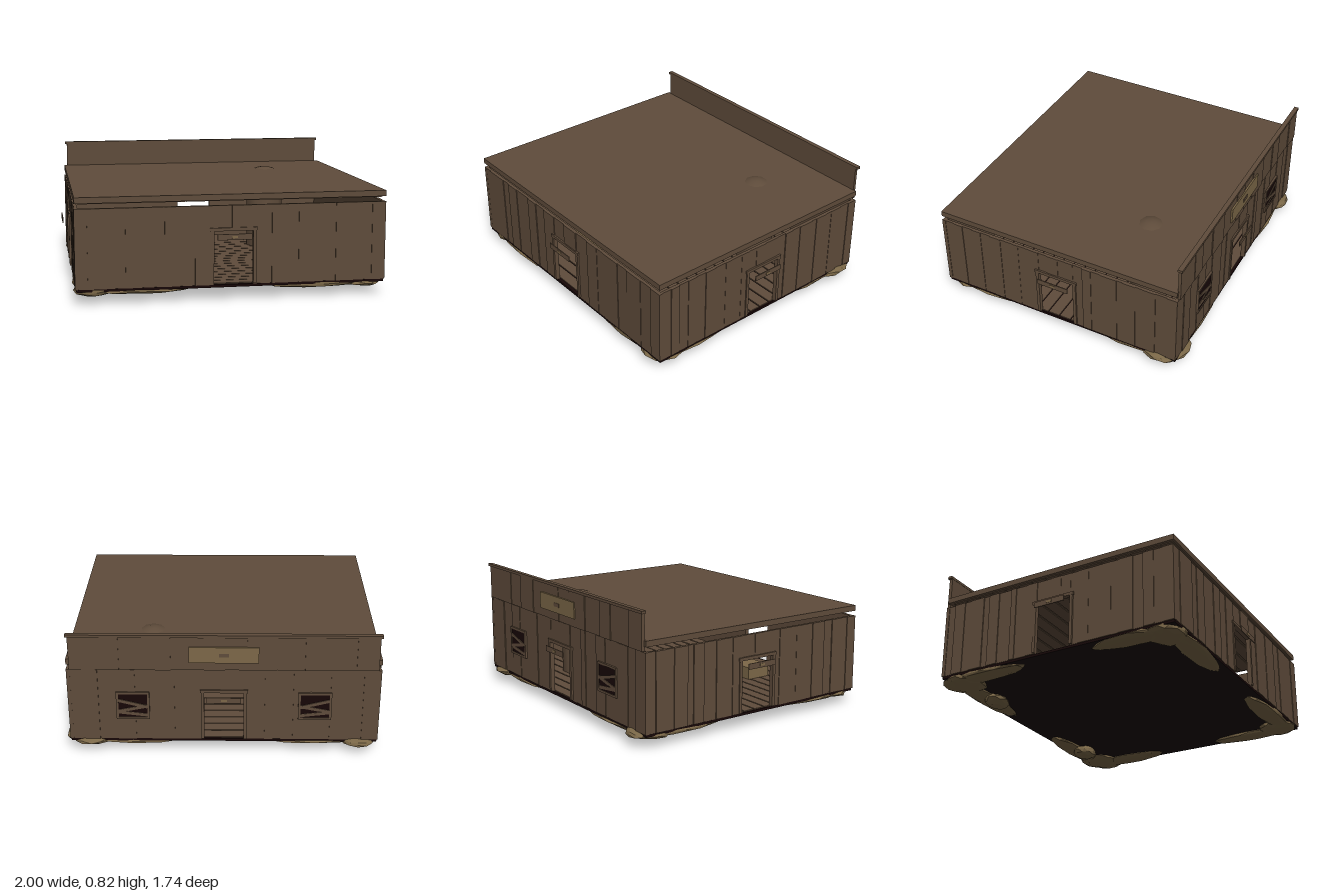
import * as THREE from 'three';

const mat = (name, color, extra = {}) => {
  const m = new THREE.MeshStandardMaterial({ color, ...extra });
  m.name = name;
  return m;
};

export function createModel() {
  const model = new THREE.Group();
  model.name = 'plankBuilding';
  const wood = mat('brown wood', 0x5f4c3b);
  const dark = mat('dark underside', 0x170707);
  const tan = mat('tan board', 0x7d6848);
  const rock = mat('tan rock', 0x7a6747, { flatShading: true });

  let seed = 7;
  const rnd = () => (seed = (seed * 16807) % 2147483647) / 2147483647;

  // box given by its two opposite corners
  const box = (parent, name, m, x0, x1, y0, y1, z0, z1) => {
    const mesh = new THREE.Mesh(new THREE.BoxGeometry(x1 - x0, y1 - y0, z1 - z0), m);
    mesh.position.set((x0 + x1) / 2, (y0 + y1) / 2, (z0 + z1) / 2);
    mesh.name = name;
    parent.add(mesh);
    return mesh;
  };

  // row of planks of uneven width and depth, outer face near z = d
  const planks = (parent, name, x0, x1, y0, y1, d, step) => {
    const n = Math.max(1, Math.round((x1 - x0) / step));
    const cuts = [x0];
    for (let i = 1; i < n; i++) cuts.push(x0 + (x1 - x0) * (i + (rnd() - 0.5) * 0.6) / n);
    cuts.push(x1);
    for (let i = 0; i < n; i++) {
      const out = (i % 2) * 0.004 + rnd() * 0.003;
      box(parent, name, wood, cuts[i], cuts[i + 1], y0, y1, d - 0.022, d - 0.005 + out);
    }
  };

  // one wall with doorway, frame and the board hanging in front of it
  const wall = (name, half, d, angle, step) => {
    const g = new THREE.Group();
    g.name = name;
    planks(g, 'wallPlank', -half, -0.12, 0.095, 0.58, d, step);
    planks(g, 'wallPlank', 0.12, half, 0.095, 0.58, d, step);
    planks(g, 'planksAboveDoor', -0.12, 0.12, 0.425, 0.58, d, step);
    for (const s of [-1, 1]) {
      const x = s * 0.13;
      box(g, 'doorJamb', wood, x - 0.01, x + 0.01, 0.1, 0.425, d - 0.02, d + 0.007);
    }
    box(g, 'doorLintel', wood, -0.145, 0.145, 0.425, 0.445, d - 0.02, d + 0.008);
    box(g, 'hangingBoard', wood, -0.105, 0.105, 0.377, 0.413, d + 0.041, d + 0.047);
    box(g, 'boardPlate', tan, -0.018, 0.018, 0.388, 0.402, d + 0.04, d + 0.049);
    g.rotation.y = angle;
    model.add(g);
    return g;
  };
  wall('frontWall', 0.95, 0.82, 0, 0.1);
  const back = wall('backWall', 0.95, 0.82, Math.PI, 0.1);
  wall('leftWall', 0.818, 0.951, Math.PI / 2, 0.07);
  wall('rightWall', 0.818, 0.951, -Math.PI / 2, 0.07);

  // boarded windows on the back wall
  for (const s of [-1, 1]) {
    const w = new THREE.Group();
    w.name = 'boardedWindow';
    w.position.set(s * 0.555, 0.335, 0.822);
    box(w, 'windowOpening', dark, -0.09, 0.09, -0.08, 0.08, 0, 0.004);
    for (const e of [-1, 1]) {
      box(w, 'windowSideTrim', wood, e * 0.095 - 0.007, e * 0.095 + 0.007, -0.092, 0.092, -0.01, 0.008);
      box(w, 'windowTrim', wood, -0.1, 0.1, e * 0.086 - 0.007, e * 0.086 + 0.007, -0.01, 0.008);
    }
    [[-0.055, 0.12], [-0.02, -0.2], [0.015, 0.25]].forEach(([y, a], i) => {
      const b = box(w, 'windowBoard', wood, -0.092, 0.092, y - 0.01, y + 0.01, 0.003, 0.007 + i * 0.001);
      b.rotation.z = a * s;
    });
    back.add(w);
  }

  // false front rising above the roof, with cap and sign plate
  planks(back, 'parapetPlank', -0.93, 0.93, 0.585, 0.81, 0.832, 0.15);
  box(back, 'parapetCap', wood, -0.942, 0.942, 0.803, 0.82, 0.808, 0.838);
  box(back, 'signBoard', tan, -0.21, 0.21, 0.638, 0.742, 0.83, 0.841);
  box(back, 'signPlate', wood, -0.03, 0.03, 0.678, 0.702, 0.835, 0.844);

  // roof slab with boarded underside
  box(model, 'roof', wood, -0.95, 0.95, 0.612, 0.648, -0.815, 0.82);
  for (let i = 0; i < 16; i++) {
    const z = -0.78 + i * 0.1;
    box(model, 'ceilingBoard', wood, -0.93, 0.93, 0.606, 0.613, z, z + 0.085);
  }

  // floor boards over a dark base
  box(model, 'floorBase', dark, -0.945, 0.945, 0.078, 0.094, -0.815, 0.815);
  for (let i = 0; i < 20; i++) {
    const z = -0.8 + i * 0.08;
    box(model, 'floorBoard', wood, -0.935, 0.935, 0.093, 0.1, z, z + 0.072);
  }
  box(model, 'crate', tan, -0.42, -0.22, 0.1, 0.18, 0.38, 0.55);

  // flue whose tip breaks through the roof
  const flue = new THREE.Mesh(new THREE.LatheGeometry(
    [[0.13, 0.1], [0.13, 0.6], [0.085, 0.645], [0.03, 0.66], [0, 0.661]].map(p => new THREE.Vector2(...p)), 9), wood);
  flue.position.set(0.45, 0, -0.4);
  flue.name = 'flue';
  model.add(flue);

  // thin hanging ties between walls and roof
  for (const [x, z] of [[-0.18, 0.12], [0.12, 0], [0.18, -0.03], [0.36, 0.1], [-0.5, -0.63], [-0.42, -0.66]])
    box(model, 'roofTie', wood, x - 0.006, x + 0.006, 0.5, 0.61, z - 0.004, z + 0.004);

  // faceted stones: corner mounds, long banks beside them and small boulders
  const stone = (name, x, y, z, rx, ry, rz) => {
    const geo = new THREE.IcosahedronGeometry(1, 1);
    const p = geo.attributes.position;
    for (let i = 0; i < p.count; i++) {
      const a = p.getX(i), b = p.getY(i), c = p.getZ(i);
      const k = 0.93 + 0.07 * Math.sin(5 * a + 7 * b + 3 * c + 9 * x + 4 * z);
      p.setXYZ(i, a * k * rx, b * k * ry, c * k * rz);
    }
    geo.computeVertexNormals();
    const mesh = new THREE.Mesh(geo, rock);
    mesh.position.set(x, y, z);
    mesh.name = name;
    model.add(mesh);
  };
  for (const sx of [-1, 1]) for (const sz of [-1, 1]) {
    stone('cornerMound', sx * 0.83, 0.072, sz * 0.71, 0.14, 0.036, 0.13);
    stone('frontBackBank', sx * 0.56, 0.073, sz * 0.75, 0.36, 0.027, 0.08);
    stone('sideBank', sx * 0.88, 0.073, sz * 0.52, 0.08, 0.027, 0.32);
  }
  for (const s of [-1, 1]) stone('boulder', s * 0.55, 0.045, -0.68, 0.1, 0.046, 0.08);
  stone('outerStone', -0.83, 0.075, -0.78, 0.11, 0.03, 0.09);
  stone('outerStone', 0.82, 0.075, -0.78, 0.12, 0.03, 0.075);
  stone('outerStone', 0.91, 0.075, -0.7, 0.08, 0.03, 0.12);

  return model;
}
